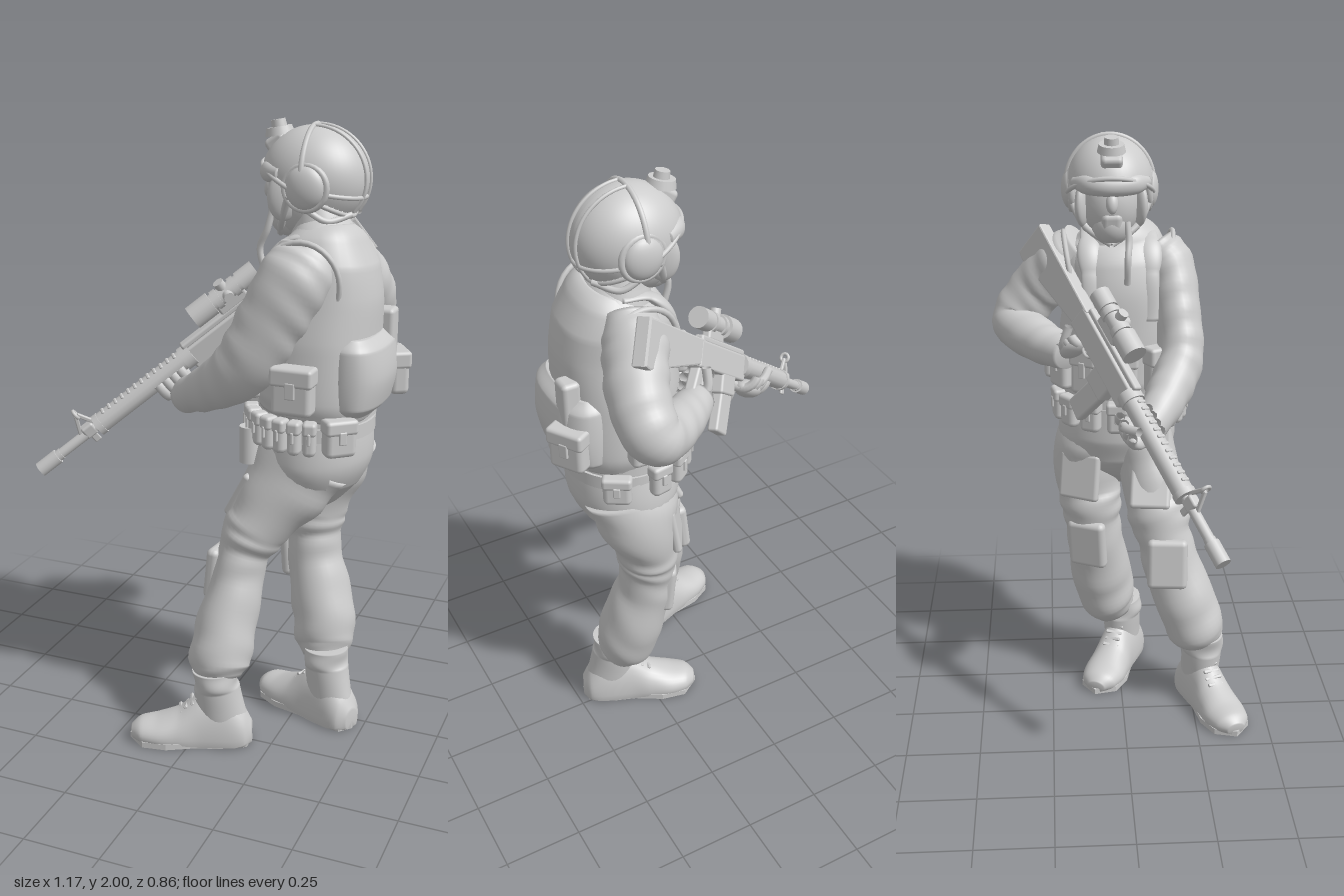
import * as THREE from 'three';
import { RoundedBoxGeometry } from 'three/addons/geometries/RoundedBoxGeometry.js';

const grey = new THREE.MeshStandardMaterial({ color: 0xcccccc, side: THREE.DoubleSide });
grey.name = 'plain grey';
const V = (x, y, z) => new THREE.Vector3(x, y, z);

function add(parent, name, geo, p = [0, 0, 0], r = [0, 0, 0], s = [1, 1, 1]) {
  const m = new THREE.Mesh(geo, grey);
  m.name = name;
  m.position.set(...p); m.rotation.set(...r); m.scale.set(...s);
  parent.add(m);
}
const box = (w, h, d, r = 0.01) => new RoundedBoxGeometry(w, h, d, 2, Math.min(r, w / 2.1, h / 2.1, d / 2.1));
const cyl = (r1, r2, h, n = 20) => new THREE.CylinderGeometry(r1, r2, h, n);
const ball = () => new THREE.SphereGeometry(1, 24, 16);
const tube = (pts, r, n = 24) => new THREE.TubeGeometry(new THREE.CatmullRomCurve3(pts.map(p => V(...p))), n, r, 8);

// Smooth skin through elliptical sections [x, y, z, a, b]; a lies along ref. Folds ripple the cloth.
function loft(secs, { ref = [1, 0, 0], folds = 0, freq = 9, n = 32, rows = 48, pow = 1, floor = -1 } = {}) {
  const path = new THREE.CatmullRomCurve3(secs.map(s => V(s[0], s[1], s[2])));
  const rad = new THREE.CatmullRomCurve3(secs.map(s => V(s[3], s[4], 0)));
  const R = V(...ref), pos = [], idx = [];
  const bend = x => Math.sign(x) * Math.abs(x) ** pow;
  for (let i = -1; i <= rows + 1; i++) {
    const t = Math.min(Math.max(i / rows, 0), 1), cap = i < 0 || i > rows ? 0 : 1;
    const c = path.getPoint(t), T = path.getTangent(t), q = rad.getPoint(t);
    const u = R.clone().addScaledVector(T, -R.dot(T)).normalize(), v = T.clone().cross(u);
    for (let j = 0; j < n; j++) {
      const a = j / n * Math.PI * 2;
      const k = cap * (1 + folds * Math.sin(t * freq * 6.28 + 2.2 * Math.sin(a + 1) + 3 * t) * (0.6 + 0.4 * Math.sin(2 * a + t * 11)));
      const p = c.clone().addScaledVector(u, q.x * k * bend(Math.cos(a))).addScaledVector(v, q.y * k * bend(Math.sin(a)));
      pos.push(p.x, Math.max(p.y, floor), p.z);
    }
  }
  for (let i = 0; i < rows + 2; i++) for (let j = 0; j < n; j++) {
    const a = i * n + j, b = i * n + (j + 1) % n;
    idx.push(a, b, a + n, b, b + n, a + n);
  }
  const g = new THREE.BufferGeometry();
  g.setAttribute('position', new THREE.Float32BufferAttribute(pos, 3));
  g.setIndex(idx);
  g.computeVertexNormals();
  return g;
}

// Flapped pouch set around the body; angle 0 is the back, 90 the left side, 180 the chest
function pouch(parent, name, deg, y, w, h, d, rx = 0.2, rz = 0.21) {
  const a = deg * Math.PI / 180, g = new THREE.Group();
  g.name = name;
  g.position.set(0.305 + rx * Math.cos(a), y, 0.005 + rz * Math.sin(a));
  g.rotation.y = Math.atan2(Math.cos(a) / rx, Math.sin(a) / rz);
  add(g, 'pouchBody', box(w, h, d, 0.018), [0, 0, d * 0.3]);
  add(g, 'pouchFlap', box(w * 1.06, h * 0.4, d * 1.1, 0.012), [0, h * 0.31, d * 0.33]);
  add(g, 'pouchTab', box(w * 0.25, h * 0.35, 0.012, 0.004), [0, h * 0.05, d * 0.82]);
  parent.add(g);
}

// Boot with the toe along local +z
function boot(parent, name, x, z, dx, dz) {
  const g = new THREE.Group();
  g.name = name;
  g.position.set(x, 0, z);
  g.rotation.y = Math.atan2(dx, dz);
  add(g, 'bootFoot', loft([[0, 0.03, -0.112, 0.03, 0.04], [0, 0.03, -0.085, 0.062, 0.09], [0, 0.03, -0.02, 0.07, 0.16], [0, 0.03, 0.06, 0.068, 0.14],
    [0, 0.03, 0.13, 0.074, 0.085], [0, 0.03, 0.2, 0.076, 0.055], [0, 0.03, 0.255, 0.062, 0.042], [0, 0.025, 0.287, 0.03, 0.022]], { floor: 0.004 }));
  add(g, 'bootShaft', loft([[0, 0.05, -0.02, 0.06, 0.085], [0, 0.13, -0.005, 0.065, 0.08], [0, 0.2, 0.005, 0.07, 0.076], [0, 0.265, 0.01, 0.07, 0.076]]));
  const sole = new THREE.Shape([[0, -0.113], [0.05, -0.095], [0.066, 0], [0.064, 0.07], [0.08, 0.17], [0.066, 0.25], [0, 0.295],
    [-0.066, 0.25], [-0.08, 0.17], [-0.064, 0.07], [-0.066, 0], [-0.05, -0.095]].map(p => new THREE.Vector2(p[0], -p[1])));
  add(g, 'bootSole', new THREE.ExtrudeGeometry(sole, { depth: 0.02, bevelEnabled: false }), [0, 0, 0], [-Math.PI / 2, 0, 0]);
  for (let i = 0; i < 5; i++) add(g, 'bootLace', box(0.06, 0.01, 0.012, 0.003), [0, 0.178 - i * 0.0165, 0.048 + i * 0.019], [0.7, 0, i % 2 ? 0.15 : -0.15]);
  parent.add(g);
}

// Gloved hand closed around its local z axis
function hand(parent, name, p, r, grip) {
  const g = new THREE.Group();
  g.name = name;
  g.position.set(...p); g.rotation.set(...r);
  add(g, 'palm', ball(), [0, -grip, 0], [0, 0, 0], [0.044, 0.03, 0.062]);
  for (let i = 0; i < 4; i++) add(g, 'finger', new THREE.TorusGeometry(grip, 0.016, 8, 16, 3.4), [0, -0.004, -0.045 + i * 0.029], [0, 0, -2.9]);
  add(g, 'thumb', tube([[-0.02, -grip, -0.04], [-grip, -0.02, 0], [-grip, 0.02, 0.045]], 0.015));
  parent.add(g);
}

function rifle() {
  const g = new THREE.Group();
  g.name = 'rifle';
  const z = V(-0.69, -0.6, 0.4).normalize(), x = V(0, 1, 0).cross(z).normalize(), y = z.clone().cross(x);
  g.quaternion.setFromRotationMatrix(new THREE.Matrix4().makeBasis(x, y, z));
  g.position.set(-0.57, 0.86, 0.265);
  const inner = new THREE.Group();
  inner.name = 'rifleBody';
  inner.rotation.z = -0.24;
  g.add(inner);
  const rod = (name, s0, s1, r, yy = 0, n = 20) => add(inner, name, cyl(r, r, s1 - s0, n), [0, yy, -(s0 + s1) / 2], [Math.PI / 2, 0, 0]);
  const block = (name, s0, s1, w, h, yy, rx = 0) => add(inner, name, box(w, h, s1 - s0, 0.008), [0, yy, -(s0 + s1) / 2], [rx, 0, 0]);
  // Barrel and handguard
  rod('flashHider', 0, 0.075, 0.025); rod('barrelCollar', 0.075, 0.09, 0.019); rod('barrel', 0.07, 0.35, 0.017);
  rod('handguard', 0.25, 0.62, 0.034, 0, 12); rod('handguardCap', 0.24, 0.26, 0.037); rod('handguardRing', 0.6, 0.635, 0.04);
  for (let i = 0; i < 12; i++) block('railRib', 0.28 + i * 0.027, 0.292 + i * 0.027, 0.03, 0.01, 0.032);
  // Front sight
  block('sightBase', 0.19, 0.235, 0.035, 0.045, 0.008);
  for (const s of [1, -1]) add(inner, 'sightLeg', box(0.012, 0.075, 0.014, 0.004), [0, 0.045, -0.213 - s * 0.018], [s * 0.42, 0, 0]);
  add(inner, 'sightRing', new THREE.TorusGeometry(0.014, 0.006, 8, 16), [0, 0.083, -0.213]);
  block('slingLug', 0.2, 0.225, 0.01, 0.035, -0.03);
  // Receiver, grip and magazine
  block('receiver', 0.62, 0.97, 0.05, 0.085, -0.01); block('topRail', 0.62, 0.95, 0.032, 0.022, 0.04);
  block('magazineWell', 0.69, 0.79, 0.048, 0.08, -0.07); block('magazine', 0.7, 0.78, 0.036, 0.17, -0.15, 0.12);
  block('pistolGrip', 0.92, 0.975, 0.036, 0.13, -0.1, 0.35);
  add(inner, 'triggerGuard', new THREE.TorusGeometry(0.032, 0.005, 6, 16, Math.PI), [0, -0.05, -0.865], [0, Math.PI / 2, Math.PI]);
  // Scope
  rod('scopeTube', 0.73, 0.95, 0.028, 0.1); rod('scopeFront', 0.71, 0.79, 0.04, 0.1); rod('scopeRear', 0.9, 0.965, 0.034, 0.1);
  rod('scopeRing', 0.8, 0.82, 0.034, 0.1); rod('scopeRing', 0.87, 0.89, 0.034, 0.1);
  block('scopeMount', 0.79, 0.9, 0.03, 0.05, 0.068);
  add(inner, 'scopeKnob', cyl(0.018, 0.018, 0.03), [0, 0.132, -0.845]);
  add(inner, 'scopeKnob', cyl(0.018, 0.018, 0.03), [0.032, 0.1, -0.845], [0, 0, Math.PI / 2]);
  // Stock
  const stock = new THREE.Shape([[0.95, 0.03], [1.315, 0.035], [1.32, -0.095], [1.295, -0.1], [0.97, -0.04]].map(p => new THREE.Vector2(...p)));
  add(inner, 'stock', new THREE.ExtrudeGeometry(stock, { depth: 0.036, bevelSize: 0.006, bevelThickness: 0.006, bevelSegments: 2 }), [-0.018, 0, 0], [0, Math.PI / 2, 0]);
  hand(inner, 'leftHand', [0, -0.015, -0.53], [0, 0, 0], 0.05);
  hand(inner, 'rightHand', [0, -0.1, -0.95], [-1.25, 0, 0], 0.037);
  return g;
}

function head() {
  const g = new THREE.Group();
  g.name = 'head';
  g.position.set(0.27, 1.828, -0.028);
  // Helmet shell: high rim at the face, low at the nape
  const shell = new THREE.SphereGeometry(1, 48, 28), p = shell.attributes.position, uv = shell.attributes.uv;
  const skin = (th, ph, k = 1) => [0.168 * k * Math.sin(th) * Math.cos(ph), 0.158 * k * Math.cos(th), 0.143 * k * Math.sin(th) * Math.sin(ph)];
  const edge = ph => 1.8 + 0.52 * Math.cos(ph);
  for (let i = 0; i < p.count; i++) {
    const ph = -uv.getX(i) * Math.PI * 2;
    p.setXYZ(i, ...skin((1 - uv.getY(i)) * edge(ph), ph));
  }
  shell.computeVertexNormals();
  add(g, 'helmet', shell);
  const span = (f, n = 12) => [...Array(n + 1).keys()].map(i => f(i / n));
  add(g, 'helmetRim', tube(span(t => skin(edge(t * 6.2832), t * 6.2832, 1.005), 40), 0.008, 80));
  for (const s of [-0.025, 0.025]) add(g, 'helmetBand', tube(span(t => { const q = skin(2.2 * t, 0); return [q[0], q[1], q[2] + s]; }), 0.006));
  add(g, 'helmetCrossBand', tube(span(t => { const a = -1.5 + 3 * t; return skin(Math.abs(a), a < 0 ? -1.5708 : 1.5708, 1.005); }), 0.009));
  add(g, 'helmetSideBand', tube(span(t => skin(1.7 + 0.2 * Math.cos(3 * t - 1.5), -1.5 + 3 * t, 1.005)), 0.007, 60));
  // Lamp mount on the brow
  add(g, 'lampMount', box(0.07, 0.05, 0.07, 0.015), [-0.12, 0.1, 0], [0, 0, 0.6]);
  add(g, 'lampBase', cyl(0.04, 0.046, 0.025), [-0.118, 0.135, 0], [0, 0, 0.2]);
  add(g, 'lampKnob', cyl(0.022, 0.025, 0.03), [-0.12, 0.154, 0], [0, 0, 0.2]);
  // Face, goggles and breathing mask
  add(g, 'face', ball(), [-0.04, -0.045, 0], [0, 0, 0], [0.108, 0.135, 0.1]);
  add(g, 'jaw', ball(), [-0.08, -0.115, 0], [0, 0, 0.3], [0.065, 0.07, 0.065]);
  add(g, 'goggles', loft([[-0.07, 0.02, -0.115, 0.02, 0.02], [-0.125, 0.02, -0.07, 0.032, 0.026], [-0.142, 0.015, 0, 0.03, 0.026],
    [-0.125, 0.02, 0.07, 0.032, 0.026], [-0.07, 0.02, 0.115, 0.02, 0.02]], { ref: [0, 1, 0] }));
  add(g, 'nose', ball(), [-0.143, -0.035, 0], [0, 0, -0.3], [0.02, 0.035, 0.02]);
  add(g, 'mouthPiece', box(0.05, 0.07, 0.07, 0.02), [-0.12, -0.1, 0], [0, 0, 0.2]);
  for (const s of [1, -1]) {
    add(g, 'earCup', ball(), [0.01, -0.015, s * 0.128], [0, 0, 0], [0.062, 0.066, 0.032]);
    add(g, 'earCupRing', new THREE.TorusGeometry(0.066, 0.011, 8, 28), [0.01, -0.015, s * 0.126]);
    add(g, 'cheekGuard', ball(), [-0.07, -0.05, s * 0.09], [0, s * 0.4, 0], [0.05, 0.075, 0.022]);
    add(g, 'chinStrap', tube([[-0.04, -0.04, s * 0.13], [-0.075, -0.12, s * 0.085], [-0.11, -0.175, 0]], 0.012));
    add(g, 'napeStrap', tube([[0.01, -0.08, s * 0.12], [0.07, -0.115, s * 0.1], [0.13, -0.1, s * 0.04]], 0.01));
  }
  add(g, 'hose', tube([[-0.12, -0.1, 0.05], [-0.135, -0.16, 0.055], [-0.16, -0.22, 0.05], [-0.14, -0.3, 0.05]], 0.011));
  return g;
}

export function createModel() {
  const g = new THREE.Group();
  g.name = 'soldier';
  // Torso and pelvis
  add(g, 'jacket', loft([[0.3, 0.98, 0, 0.17, 0.18], [0.3, 1.12, 0, 0.18, 0.19], [0.31, 1.35, 0, 0.17, 0.19], [0.31, 1.55, -0.01, 0.145, 0.19],
    [0.31, 1.64, -0.01, 0.11, 0.15], [0.3, 1.7, -0.02, 0.08, 0.085]]));
  add(g, 'vest', loft([[0.305, 1.12, 0.005, 0.18, 0.195], [0.31, 1.18, 0.005, 0.193, 0.21], [0.31, 1.35, 0.005, 0.19, 0.203], [0.312, 1.48, 0.005, 0.188, 0.182],
    [0.315, 1.58, 0, 0.168, 0.172], [0.315, 1.65, -0.005, 0.125, 0.145], [0.31, 1.685, -0.01, 0.085, 0.1]], { pow: 0.88 }));
  add(g, 'collar', loft([[0.3, 1.64, -0.02, 0.1, 0.11], [0.295, 1.69, -0.02, 0.088, 0.095], [0.285, 1.74, -0.022, 0.075, 0.08]]));
  add(g, 'pelvis', loft([[0.29, 0.77, 0, 0.03, 0.03], [0.295, 0.81, 0, 0.085, 0.1], [0.3, 0.88, -0.005, 0.145, 0.185], [0.305, 0.97, -0.005, 0.178, 0.205], [0.3, 1.08, 0, 0.178, 0.19]]));
  for (const [y, r] of [[1.07, 0.186], [1.125, 0.188]]) add(g, 'belt', cyl(r, r, 0.045, 40), [0.302, y, 0], [0, 0, 0], [1, 1, 1.05]);
  // Back panel and load
  add(g, 'backPack', loft([[0.45, 1.13, 0.01, 0.05, 0.14], [0.45, 1.16, 0.01, 0.08, 0.17], [0.45, 1.25, 0.01, 0.097, 0.175], [0.45, 1.34, 0.01, 0.085, 0.17], [0.45, 1.375, 0.01, 0.05, 0.14]], { pow: 0.85 }));
  pouch(g, 'backPouch', -30, 1.225, 0.12, 0.14, 0.06, 0.235, 0.22);
  add(g, 'radio', box(0.06, 0.15, 0.07, 0.015), [0.5, 1.36, -0.075]);
  pouch(g, 'sidePouch', 91, 1.225, 0.13, 0.15, 0.065);
  pouch(g, 'sidePouch', 272, 1.24, 0.13, 0.14, 0.06);
  for (const a of [148, 180, 212, 240]) pouch(g, 'chestPouch', a, 1.24, 0.095, 0.16, 0.06);
  pouch(g, 'upperChestPouch', 205, 1.42, 0.1, 0.1, 0.04, 0.185, 0.19);
  pouch(g, 'beltPouch', 52, 1.075, 0.1, 0.12, 0.06, 0.185, 0.2);
  pouch(g, 'beltPouch', 300, 1.06, 0.09, 0.1, 0.04, 0.185, 0.2);
  for (let i = 0; i < 7; i++) pouch(g, 'ammoPouch', 78 + i * 13, 1.07, 0.042, 0.11, 0.045, 0.195, 0.2);
  for (const a of [185, 210, 235, 260]) pouch(g, 'ammoPouch', a, 1.075, 0.07, 0.11, 0.045, 0.19, 0.2);
  add(g, 'canteen', cyl(0.032, 0.032, 0.12), [0.12, 1.0, 0.13]);
  // Vest straps and arm rims
  for (const s of [1, -1]) {
    add(g, 'vestStrap', loft([[0.14, 1.4, s * 0.1, 0.025, 0.01], [0.165, 1.56, s * 0.1, 0.028, 0.012], [0.24, 1.655, s * 0.1, 0.028, 0.012], [0.33, 1.67, s * 0.1, 0.025, 0.01]], { ref: [0, 0, 1] }));
    add(g, 'armRim', new THREE.TorusGeometry(0.115, 0.009, 8, 32), [0.3, 1.54, s * 0.163], [s * 0.15, 0, 0], [1, 1.1, 1]);
  }
  // Arms
  add(g, 'leftArm', loft([[0.3, 1.62, 0.12, 0.07, 0.09], [0.28, 1.56, 0.165, 0.085, 0.112], [0.21, 1.42, 0.19, 0.08, 0.108], [0.12, 1.27, 0.195, 0.078, 0.098],
    [0.0, 1.18, 0.14, 0.07, 0.078], [-0.14, 1.105, 0.06, 0.05, 0.055]], { ref: [0, 0, 1], folds: 0.035 }));
  add(g, 'rightArm', loft([[0.31, 1.62, -0.12, 0.075, 0.08], [0.33, 1.56, -0.185, 0.1, 0.09], [0.37, 1.45, -0.28, 0.095, 0.09], [0.355, 1.35, -0.345, 0.088, 0.085],
    [0.23, 1.31, -0.265, 0.074, 0.074], [0.12, 1.3, -0.175, 0.055, 0.055]], { ref: [-0.6, 0.4, -0.7], folds: 0.035 }));
  // Trousers, gathered above the knee
  add(g, 'leftTrouser', loft([[0.29, 0.97, 0.08, 0.16, 0.105], [0.23, 0.86, 0.1, 0.142, 0.105], [0.158, 0.74, 0.125, 0.106, 0.106], [0.132, 0.69, 0.135, 0.102, 0.108],
    [0.11, 0.63, 0.15, 0.082, 0.094], [0.097, 0.53, 0.175, 0.085, 0.1], [0.078, 0.38, 0.23, 0.1, 0.106], [0.072, 0.28, 0.265, 0.102, 0.102], [0.078, 0.235, 0.28, 0.07, 0.075]], { folds: 0.035, freq: 7 }));
  add(g, 'rightTrouser', loft([[0.315, 0.97, -0.09, 0.155, 0.115], [0.305, 0.86, -0.11, 0.128, 0.122], [0.28, 0.74, -0.105, 0.098, 0.11], [0.272, 0.69, -0.1, 0.1, 0.108],
    [0.272, 0.63, -0.095, 0.087, 0.098], [0.282, 0.53, -0.083, 0.092, 0.1], [0.32, 0.38, -0.06, 0.105, 0.11], [0.335, 0.27, -0.035, 0.1, 0.1], [0.345, 0.22, -0.01, 0.07, 0.075]], { folds: 0.035, freq: 7 }));
  // Thigh panels and knee pads
  add(g, 'leftThighPanel', box(0.03, 0.17, 0.14, 0.014), [0.1, 0.83, 0.1], [0, -0.15, -0.5]);
  add(g, 'rightThighPanel', box(0.03, 0.17, 0.15, 0.014), [0.19, 0.83, -0.14], [0, -0.5, -0.15]);
  add(g, 'leftKneePad', box(0.045, 0.18, 0.14, 0.02), [0.025, 0.56, 0.155], [0, -0.1, -0.1]);
  add(g, 'rightKneePad', box(0.045, 0.18, 0.14, 0.02), [0.205, 0.56, -0.115], [0, -0.45, 0.1]);
  boot(g, 'leftBoot', 0.075, 0.285, -0.94, 0.34);
  boot(g, 'rightBoot', 0.365, 0.015, -0.92, -0.38);
  g.add(head(), rifle());
  return g;
}
